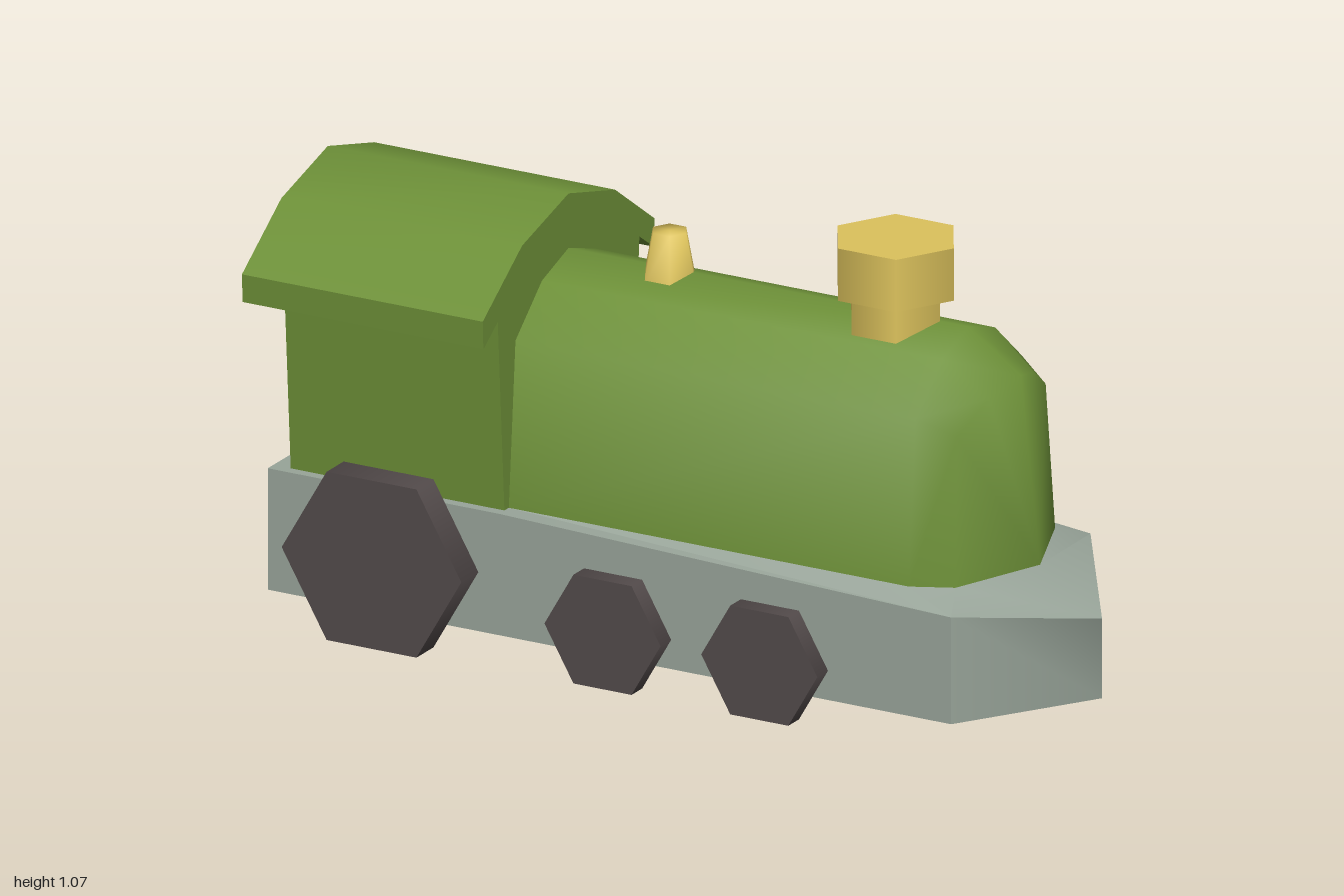
import * as THREE from 'three';
import { toCreasedNormals } from 'three/addons/utils/BufferGeometryUtils.js';

const mat = (name, color) => {
  const m = new THREE.MeshStandardMaterial({ color });
  m.name = name;
  return m;
};

// Joins neighbouring rings of [x, y, z] points with quads; zero-area triangles are skipped.
function loft(rings, crease) {
  const pos = [];
  const tri = (...t) => {
    const [a, b, c] = t.map((p) => new THREE.Vector3(...p));
    if (b.clone().sub(a).cross(c.clone().sub(a)).length() > 1e-6) pos.push(...t.flat());
  };
  for (let i = 0; i < rings.length - 1; i++) {
    for (let j = 0; j < rings[i].length - 1; j++) {
      const a = rings[i][j], b = rings[i + 1][j], c = rings[i + 1][j + 1], d = rings[i][j + 1];
      tri(a, b, c);
      tri(a, c, d);
    }
  }
  const geo = new THREE.BufferGeometry();
  geo.setAttribute('position', new THREE.Float32BufferAttribute(pos, 3));
  return toCreasedNormals(geo, crease);
}

// Continues a half row of points, ending on the centre line, with its mirror image (z to -z).
const mirrorRow = (row) =>
  row.concat(row.slice(0, -1).reverse().map(([x, y, z]) => [x, y, -z]));

// Extrudes a [z, y] profile along x.
function extrudeAlongX(profile, x0, x1, crease) {
  const shape = new THREE.Shape(profile.map((p) => new THREE.Vector2(...p)));
  const geo = new THREE.ExtrudeGeometry(shape, { depth: x1 - x0, bevelEnabled: false });
  geo.rotateY(Math.PI / 2).translate(x0, 0, 0);
  return toCreasedNormals(geo, crease);
}

export function createModel() {
  const green = mat('green paint', 0x6d9038);
  const grey = mat('grey frame', 0x98a499);
  const dark = mat('dark wheels', 0x524a4a);
  const brass = mat('brass', 0xdcc25c);

  const model = new THREE.Group();
  model.name = 'locomotive';
  const add = (name, geo, material, x = 0, y = 0, z = 0) => {
    const mesh = new THREE.Mesh(geo, material);
    mesh.name = name;
    mesh.position.set(x, y, z);
    model.add(mesh);
  };

  // Chassis: rows run from the rear centre along the left side to the tip and back
  const outer = mirrorRow([
    [-0.975, 0.35, 0], [-0.975, 0.35, 0.315], [-0.38, 0.35, 0.315],
    [0.79, 0.315, 0.315], [0.79, 0.315, 0.315], [1, 0.25, 0],
  ]);
  const inner = mirrorRow([
    [-0.93, 0.35, 0], [-0.93, 0.35, 0.27], [-0.38, 0.35, 0.27],
    [0.65, 0.35, 0.27], [0.75, 0.35, 0.225], [0.84, 0.35, 0],
  ]);
  const lower = outer.map(([x, , z]) => [x, 0.06, z]);
  const centre = lower.map(() => [0, 0.06, 0]);
  add('chassisDeck', loft([inner, outer], 0.6), grey);
  add('chassisBottom', loft([lower, centre], 0.3), grey);
  for (const [name, from, to, crease] of [
    ['chassisSideLeft', 0, 4, 0.3], ['chassisProw', 4, 7, 1.3], ['chassisSideRight', 7, 11, 0.3],
  ]) {
    add(name, loft([outer.slice(from, to), lower.slice(from, to)], crease), grey);
  }

  // Boiler: arched sections ending in a rounded, leaning nose
  const section = (x) => mirrorRow([
    [x, 0.35, 0.27], [x, 0.74, 0.24], [x, 0.845, 0.12], [x, 0.885, 0],
  ]);
  const nose = mirrorRow([
    [0.75, 0.35, 0.225], [0.74, 0.7, 0.2], [0.765, 0.765, 0.1], [0.79, 0.79, 0],
  ]);
  const noseFoot = nose.map(() => [0.84, 0.35, 0]);
  add('boiler', loft([section(-0.38), section(0.655), nose, noseFoot], 1.0), green);

  // Cab and its arched, overhanging roof
  const ceiling = [[0.32, 0.81], [0.2, 0.9], [0, 0.95], [-0.2, 0.9], [-0.32, 0.81]];
  add('cab', extrudeAlongX([[-0.29, 0.35], [0.29, 0.35], ...ceiling], -0.93, -0.378, 0.6), green);
  add('cabRoof', extrudeAlongX([
    [-0.385, 0.765], ...ceiling.slice().reverse(), [0.385, 0.765],
    [0.388, 0.832], [0.21, 0.957], [0, 1.015], [-0.21, 0.957], [-0.388, 0.832],
  ], -1, -0.378, 0.75), green);

  // Chimney and softly shaded steam dome, six-sided with corners along x
  const hex = (rTop, rBottom, h) =>
    new THREE.CylinderGeometry(rTop, rBottom, h, 6, 1, false, Math.PI / 6);
  add('chimneyBase', hex(0.115, 0.115, 0.14), brass, 0.467, 0.87);
  add('chimneyCap', hex(0.15, 0.15, 0.125), brass, 0.467, 1.0025);
  add('steamDome', toCreasedNormals(hex(0.043, 0.068, 0.125), 1.5), brass, -0.117, 0.9125);

  // Wheels: a large rear pair and two small pairs
  const wheels = [
    ['rearWheel', -0.663, 0.232, 0.077],
    ['middleWheel', -0.083, 0.15, 0.048],
    ['frontWheel', 0.322, 0.15, 0.048],
  ];
  for (const [name, x, r, w] of wheels) {
    const geo = hex(r, r, w).rotateX(Math.PI / 2);
    for (const s of [1, -1]) {
      add(name + (s > 0 ? 'Left' : 'Right'), geo, dark, x, r * Math.cos(Math.PI / 6), s * (0.315 + w / 2));
    }
  }
  return model;
}
